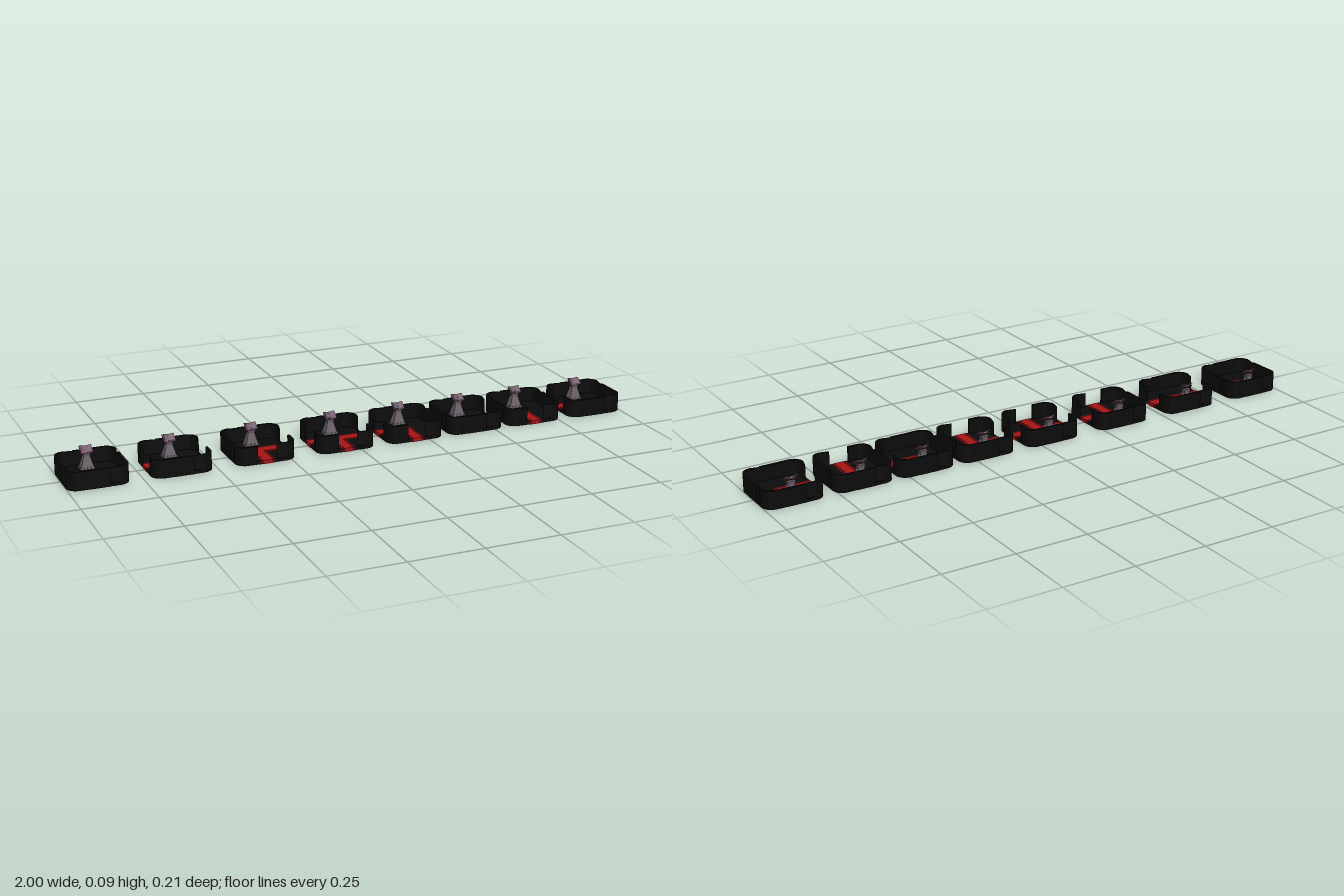
import * as THREE from 'three';

const HALF = 0.1025, RADIUS = 0.036, WALL = 0.008, HEIGHT = 0.063, FLOOR = 0.012, DOOR = 0.034;

const mat = (color) => new THREE.MeshStandardMaterial({ color });
const black = mat(0x0c0c0c), darkRed = mat(0x520a0a), red = mat(0xa81414);
const stone = mat(0x6a6068), cover = mat(0x8a5578), page = mat(0x6b5a66), wood = mat(0x4a3632);

function add(parent, name, geometry, material, x = 0, y = 0, z = 0) {
  const mesh = new THREE.Mesh(geometry, material);
  mesh.name = name;
  mesh.position.set(x, y, z);
  parent.add(mesh);
  return mesh;
}

// Extrudes a plan shape upwards from y0 to y1
function extrudeUp(shape, y0, y1) {
  const g = new THREE.ExtrudeGeometry(shape, { depth: y1 - y0, bevelEnabled: false, curveSegments: 8 });
  return g.rotateX(-Math.PI / 2).translate(0, y0, 0);
}

function floorShape() {
  const s = new THREE.Shape(), c = HALF - RADIUS;
  s.absarc(c, c, RADIUS, 0, Math.PI / 2);
  s.absarc(-c, c, RADIUS, Math.PI / 2, Math.PI);
  s.absarc(-c, -c, RADIUS, Math.PI, Math.PI * 1.5);
  s.absarc(c, -c, RADIUS, Math.PI * 1.5, Math.PI * 2);
  s.closePath();
  return s;
}

// Rounded corner of the wall, running from one doorway to the next
function cornerShape() {
  const s = new THREE.Shape(), c = HALF - RADIUS;
  s.moveTo(HALF, DOOR);
  s.absarc(c, c, RADIUS, 0, Math.PI / 2, false);
  s.lineTo(DOOR, HALF);
  s.lineTo(DOOR, HALF - WALL);
  s.absarc(c, c, RADIUS - WALL, Math.PI / 2, 0, true);
  s.lineTo(HALF - WALL, DOOR);
  s.closePath();
  return s;
}

const floorGeo = extrudeUp(floorShape(), 0.001, FLOOR);
const cornerGeo = extrudeUp(cornerShape(), 0.001, HEIGHT);
const fillGeo = new THREE.BoxGeometry(WALL, HEIGHT - 0.001, DOOR * 2).translate(HALF - WALL / 2, HEIGHT / 2, 0);

// Glowing floor strip: a patch at the centre and an arm to every doorway
function addStrip(room, name, doors, half, reach, y0, y1, material) {
  const h = y1 - y0, y = (y0 + y1) / 2;
  add(room, name + 'Centre', new THREE.BoxGeometry(half * 2, h, half * 2), material, 0, y, 0);
  for (const angle of doors) {
    const arm = new THREE.BoxGeometry(reach - half, h, half * 2).translate((reach + half) / 2, 0, 0);
    add(room, name + 'Arm', arm, material, 0, y, 0).rotation.y = angle;
  }
}

// Flared stand carrying a tilted open book
function createLectern() {
  const lectern = new THREE.Group();
  lectern.name = 'lectern';
  const tapered = (top, bottom, h) =>
    new THREE.CylinderGeometry(top * Math.SQRT2, bottom * Math.SQRT2, h, 4, 1).rotateY(Math.PI / 4).toNonIndexed();
  const parts = [['foot', 0.023, 0.024, 0.006, 0.015], ['column', 0.011, 0.021, 0.036, 0.036], ['neck', 0.014, 0.011, 0.013, 0.0605]];
  for (const [name, top, bottom, h, y] of parts) {
    const g = tapered(top, bottom, h).scale(1, 1, 0.75);
    g.computeVertexNormals();
    add(lectern, name, g, stone, 0, y, 0);
  }
  const book = new THREE.Group();
  book.name = 'book';
  book.position.set(0, 0.073, 0);
  book.rotation.x = 0.63;
  add(book, 'bookRest', new THREE.BoxGeometry(0.034, 0.004, 0.028), wood, 0, -0.002, 0);
  for (const side of [-1, 1]) {
    const leaf = new THREE.Group();
    leaf.name = 'bookHalf';
    leaf.rotation.z = side * 0.2;
    add(leaf, 'cover', new THREE.BoxGeometry(0.021, 0.003, 0.031), cover, side * 0.0105, 0.001, 0);
    add(leaf, 'pages', new THREE.BoxGeometry(0.016, 0.002, 0.024), page, side * 0.009, 0.0028, 0);
    book.add(leaf);
  }
  lectern.add(book);
  return lectern;
}

function createRoom(doors) {
  const room = new THREE.Group();
  room.name = 'room';
  add(room, 'floor', floorGeo, black);
  for (let i = 0; i < 4; i++) {
    const angle = i * Math.PI / 2;
    add(room, 'wallCorner', cornerGeo, black).rotation.y = angle;
    if (!doors.includes(angle)) add(room, 'wallMiddle', fillGeo, black).rotation.y = angle;
  }
  addStrip(room, 'glowEdge', doors, 0.026, HALF + 0.0002, 0.0005, FLOOR + 0.0005, darkRed);
  addStrip(room, 'glowCore', doors, 0.015, HALF + 0.0005, 0, FLOOR + 0.001, red);
  const lectern = createLectern();
  lectern.position.z = -0.06;
  room.add(lectern);
  return room;
}

export function createModel() {
  const model = new THREE.Group();
  model.name = 'roomTiles';
  // Doorway directions: left is +x, right is -x, front is +z
  const L = 0, R = Math.PI, F = Math.PI * 1.5;
  const rooms = [
    [-0.8975, []], [-0.62, [L, R]], [-0.335, [L, F]], [-0.05, [L, R, F]],
    [0.203, [R, F]], [0.432, [L]], [0.656, [F]], [0.8975, [R]],
  ];
  for (const [x, doors] of rooms) {
    const room = createRoom(doors);
    room.position.x = x;
    model.add(room);
  }
  return model;
}
